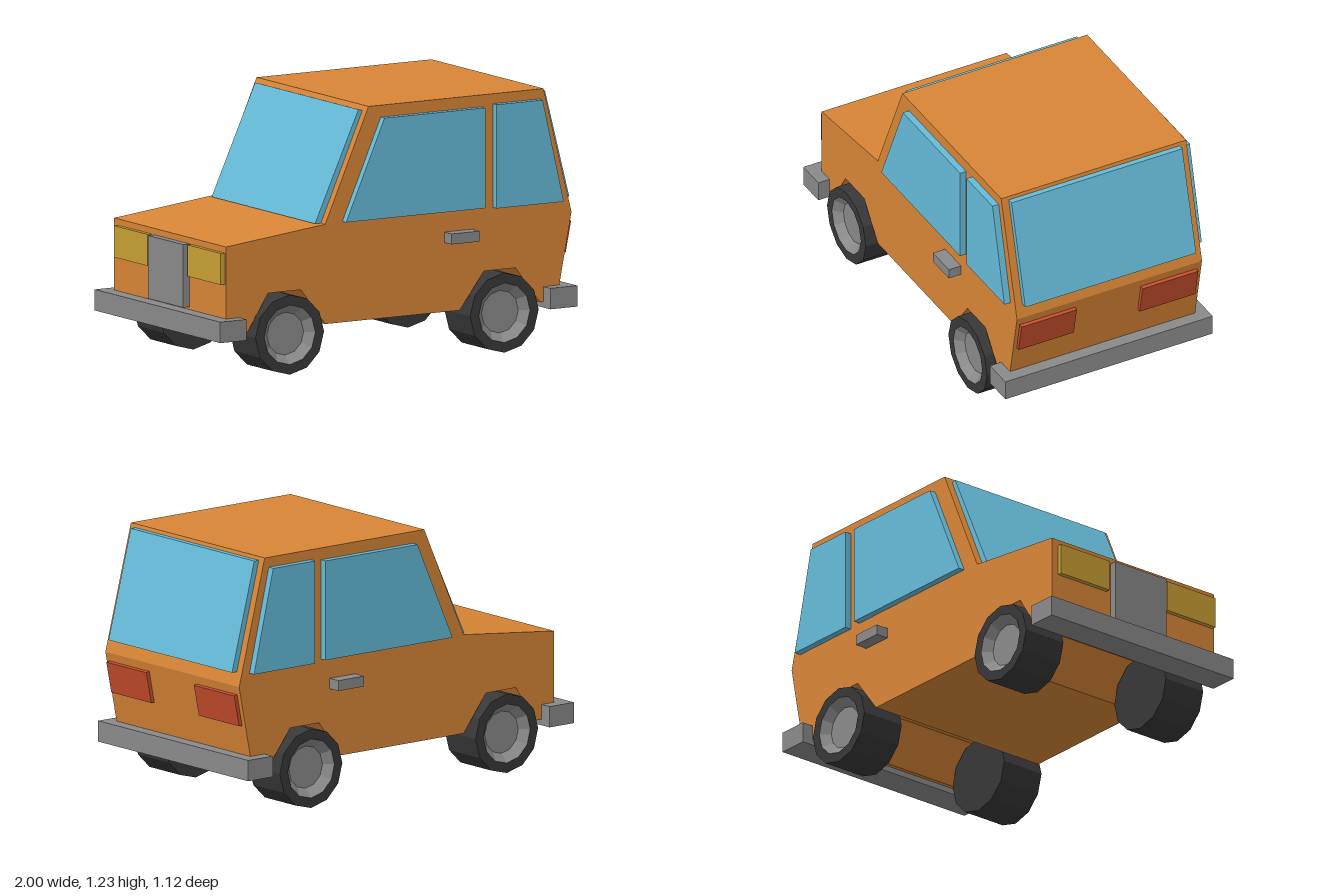
import * as THREE from 'three';

const flat = (name, color) => {
  const m = new THREE.MeshStandardMaterial({ color });
  m.name = name;
  m.flatShading = true;
  return m;
};

export function createModel() {
  const paint = flat('orange paint', 0xd98636);
  const glass = flat('blue glass', 0x66bcda);
  const metal = flat('grey metal', 0x8a8a8a);
  const rubber = flat('black rubber', 0x383838);
  const red = flat('tail light red', 0xc64d2c);
  const yellow = flat('headlight yellow', 0xc9a035);

  const car = new THREE.Group();
  car.name = 'car';

  const add = (name, geometry, material, parent = car) => {
    const mesh = new THREE.Mesh(geometry, material);
    mesh.name = name;
    parent.add(mesh);
    return mesh;
  };

  // Side profile in x and y, extruded from z0 to z1
  const slab = (name, points, z0, z1, material) => {
    const shape = new THREE.Shape(points.map(([x, y]) => new THREE.Vector2(x, y)));
    const g = new THREE.ExtrudeGeometry(shape, { depth: z1 - z0, bevelEnabled: false });
    return add(name, g.translate(0, 0, z0), material);
  };

  // Box given by its limits on each axis
  const box = (name, [x0, x1], [y0, y1], [z0, z1], material) => {
    const g = new THREE.BoxGeometry(x1 - x0, y1 - y0, z1 - z0);
    return add(name, g.translate((x0 + x1) / 2, (y0 + y1) / 2, (z0 + z1) / 2), material);
  };

  // Body with wheel arches cut across the full width
  const W = 0.495;
  slab('body', [
    [-0.93, 0.215], [-0.81, 0.215], [-0.697, 0.39], [-0.515, 0.39], [-0.38, 0.215],
    [0.365, 0.215], [0.5, 0.39], [0.675, 0.39], [0.81, 0.215], [0.903, 0.215],
    [0.985, 0.63], [0.83, 1.23], [-0.14, 1.23], [-0.38, 0.69], [-0.93, 0.63],
  ], -W, W, paint);

  // Windscreen and rear window
  slab('windscreen', [[-0.413, 0.69], [-0.375, 0.69], [-0.145, 1.205], [-0.172, 1.213]], -0.457, 0.457, glass);
  slab('rearWindow', [[0.965, 0.695], [0.997, 0.695], [0.862, 1.213], [0.833, 1.213]], -0.457, 0.457, glass);

  // Side windows and door handles
  for (const s of [1, -1]) {
    const side = s > 0 ? 'Front' : 'Back';
    const [z0, z1] = s > 0 ? [W, 0.528] : [-0.528, -W];
    slab('doorWindow' + side, [[-0.285, 0.695], [0.487, 0.695], [0.487, 1.173], [-0.072, 1.173]], z0, z1, glass);
    slab('quarterWindow' + side, [[0.55, 0.688], [0.922, 0.688], [0.805, 1.182], [0.55, 1.182]], z0, z1, glass);
    box('doorHandle' + side, [0.28, 0.435], [0.545, 0.595], s > 0 ? [W, 0.56] : [-0.56, -W], metal);
  }

  // Lights
  for (const z of [[-0.458, -0.162], [0.192, 0.485]]) {
    box('headlight', [-0.953, -0.925], [0.45, 0.6], z, yellow);
  }
  for (const z of [[-0.47, -0.172], [0.18, 0.476]]) {
    slab('tailLight', [[0.94, 0.435], [0.965, 0.435], [0.995, 0.585], [0.97, 0.59]], z[0], z[1], red);
  }

  // Grille and bumpers
  box('grille', [-0.967, -0.925], [0.3, 0.6], [-0.138, 0.174], metal);
  box('frontBumper', [-1, -0.853], [0.187, 0.287], [-0.555, 0.555], metal);
  box('rearBumper', [0.83, 0.98], [0.187, 0.287], [-0.555, 0.555], metal);

  // Twelve-sided wheels with dished rims
  const turn = (points) => new THREE.LatheGeometry(
    points.map(([r, y]) => new THREE.Vector2(r, y)), 12).rotateX(Math.PI / 2);
  const tyre = turn([[0, 0.313], [0.19, 0.313], [0.19, 0.54], [0.142, 0.54]]);
  const rim = turn([[0.142, 0.54], [0.102, 0.5], [0, 0.5]]);
  for (const x of [-0.605, 0.585]) {
    for (const s of [1, -1]) {
      const wheel = new THREE.Group();
      wheel.name = 'wheel';
      add('tyre', tyre, rubber, wheel);
      add('rim', rim, metal, wheel);
      wheel.position.set(x, 0.19, 0);
      if (s < 0) wheel.rotation.y = Math.PI;
      car.add(wheel);
    }
  }

  return car;
}
